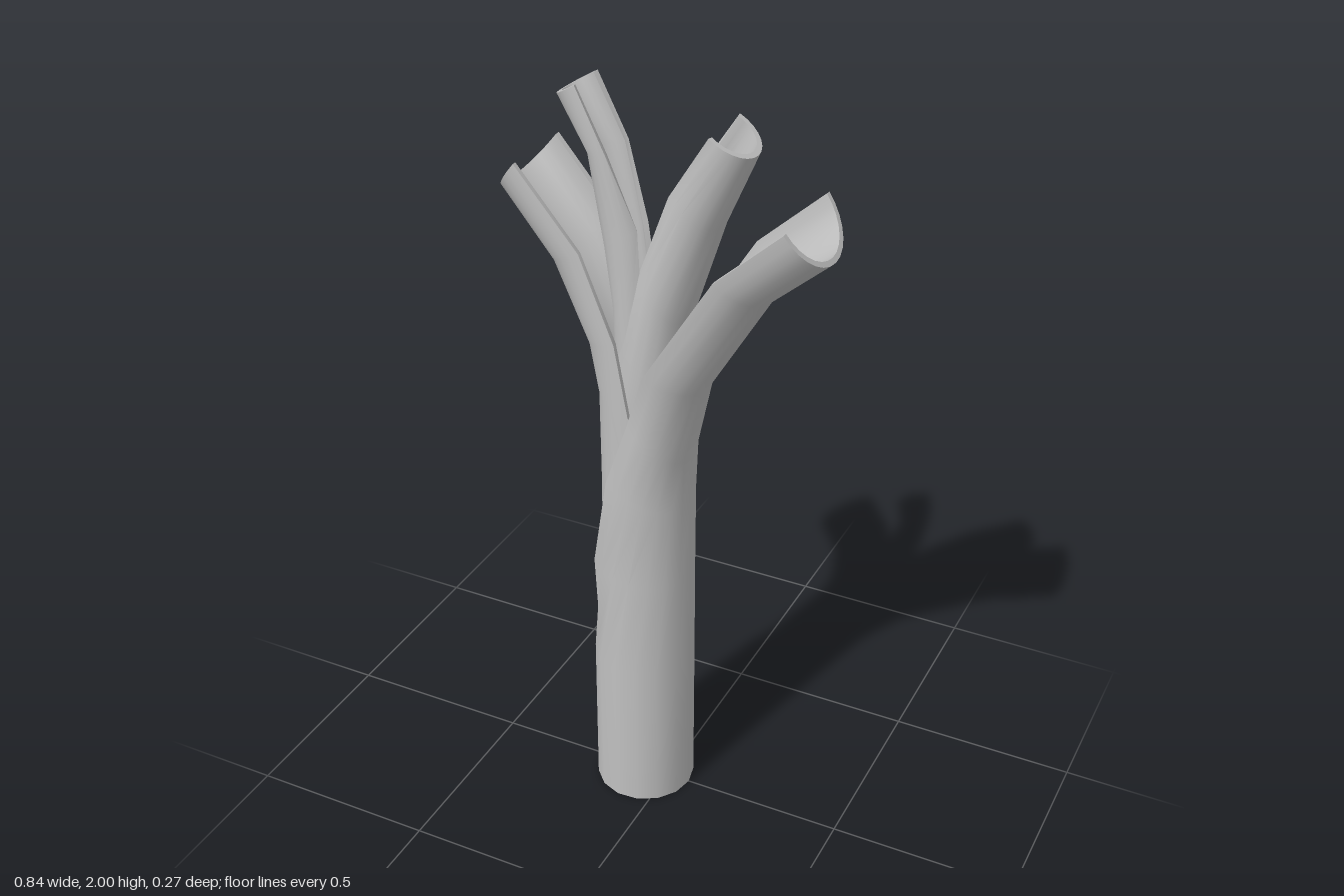
import * as THREE from 'three';
import { toCreasedNormals } from 'three/addons/utils/BufferGeometryUtils.js';

const SEG = 14;       // steps around each leaf arc
const WALL = 0.014;   // leaf thickness

// Leaf: a tube that opens into a channel. Each ring is [spine x, y, lip x, y];
// the section is a circular arc from the spine round to both lips.
function leafGeometry(radius, rings) {
  const positions = [], index = [];
  const loop = 2 * (SEG + 1);
  for (const [ox, oy, lx, ly] of rings) {
    const d = Math.hypot(lx - ox, ly - oy);
    const ux = (lx - ox) / d, uy = (ly - oy) / d;
    const depth = Math.max(radius, d / 2);
    const reach = Math.acos(Math.max(-1, 1 - d / depth));
    const side = Math.sign(ux);
    for (let k = 0; k < loop; k++) {
      const inner = k > SEG;
      const i = inner ? loop - 1 - k : k;
      const a = reach * (2 * i / SEG - 1);
      const shrink = inner ? WALL : 0;
      const along = depth - (depth - shrink) * Math.cos(a);
      positions.push(ox + ux * along, oy + uy * along, side * (radius - shrink) * Math.sin(a));
    }
  }
  // walls
  for (let j = 0; j < rings.length - 1; j++) {
    for (let k = 0; k < loop; k++) {
      const a = j * loop + k, b = j * loop + (k + 1) % loop;
      index.push(a, b, b + loop, a, b + loop, a + loop);
    }
  }
  // cut ends
  const top = (rings.length - 1) * loop;
  for (let i = 0; i < SEG; i++) {
    const m = loop - 1 - i;
    index.push(top + i, top + i + 1, top + m - 1, top + i, top + m - 1, top + m);
    index.push(i, m - 1, i + 1, i, m, m - 1);
  }
  const geometry = new THREE.BufferGeometry();
  geometry.setAttribute('position', new THREE.Float32BufferAttribute(positions, 3));
  geometry.setIndex(index);
  return toCreasedNormals(geometry, 0.9);
}

const LEAVES = [
  { name: 'outerLeftLeaf', radius: 0.133, rings: [
    [0.065, 0, -0.2, 0], [0.065, 0.42, -0.2, 0.44], [0.065, 0.7, -0.172, 0.73],
    [0.065, 0.92, -0.115, 1.0], [0.065, 1.06, -0.048, 1.19], [0.11, 1.27, -0.005, 1.33],
    [0.27, 1.54, 0.175, 1.62], [0.42, 1.67, 0.345, 1.775]] },
  { name: 'outerRightLeaf', radius: 0.11, rings: [
    [-0.175, 0.1, 0.045, 0.1], [-0.175, 0.7, 0.045, 0.7], [-0.175, 1.0, 0.01, 1.0],
    [-0.175, 1.22, -0.055, 1.2], [-0.2, 1.35, -0.09, 1.39], [-0.29, 1.55, -0.18, 1.61],
    [-0.42, 1.71, -0.345, 1.805]] },
  { name: 'innerLeftLeaf', radius: 0.085, rings: [
    [0.02, 0.6, -0.15, 0.6], [0.02, 1.0, -0.15, 1.0], [0.025, 1.25, -0.11, 1.32],
    [0.06, 1.44, -0.06, 1.55], [0.143, 1.7, 0.035, 1.78], [0.224, 1.89, 0.14, 1.945]] },
  { name: 'innerRightLeaf', radius: 0.06, rings: [
    [-0.135, 0.8, -0.015, 0.8], [-0.135, 1.3, -0.025, 1.3], [-0.14, 1.45, -0.05, 1.5],
    [-0.16, 1.6, -0.065, 1.66], [-0.2, 1.83, -0.13, 1.845], [-0.275, 1.96, -0.207, 2.0]] },
];

export function createModel() {
  const group = new THREE.Group();
  group.name = 'leek';
  const grey = new THREE.MeshStandardMaterial({ color: 0xc0c0c0 });
  grey.name = 'light grey';

  for (const { name, radius, rings } of LEAVES) {
    const leaf = new THREE.Mesh(leafGeometry(radius, rings), grey);
    leaf.name = name;
    group.add(leaf);
  }

  // closed root end of the stem
  const root = new THREE.Mesh(new THREE.CircleGeometry(0.13, 24), grey);
  root.name = 'rootEnd';
  root.rotation.x = Math.PI / 2;
  root.position.set(-0.0675, 0.008, 0);
  group.add(root);
  return group;
}
